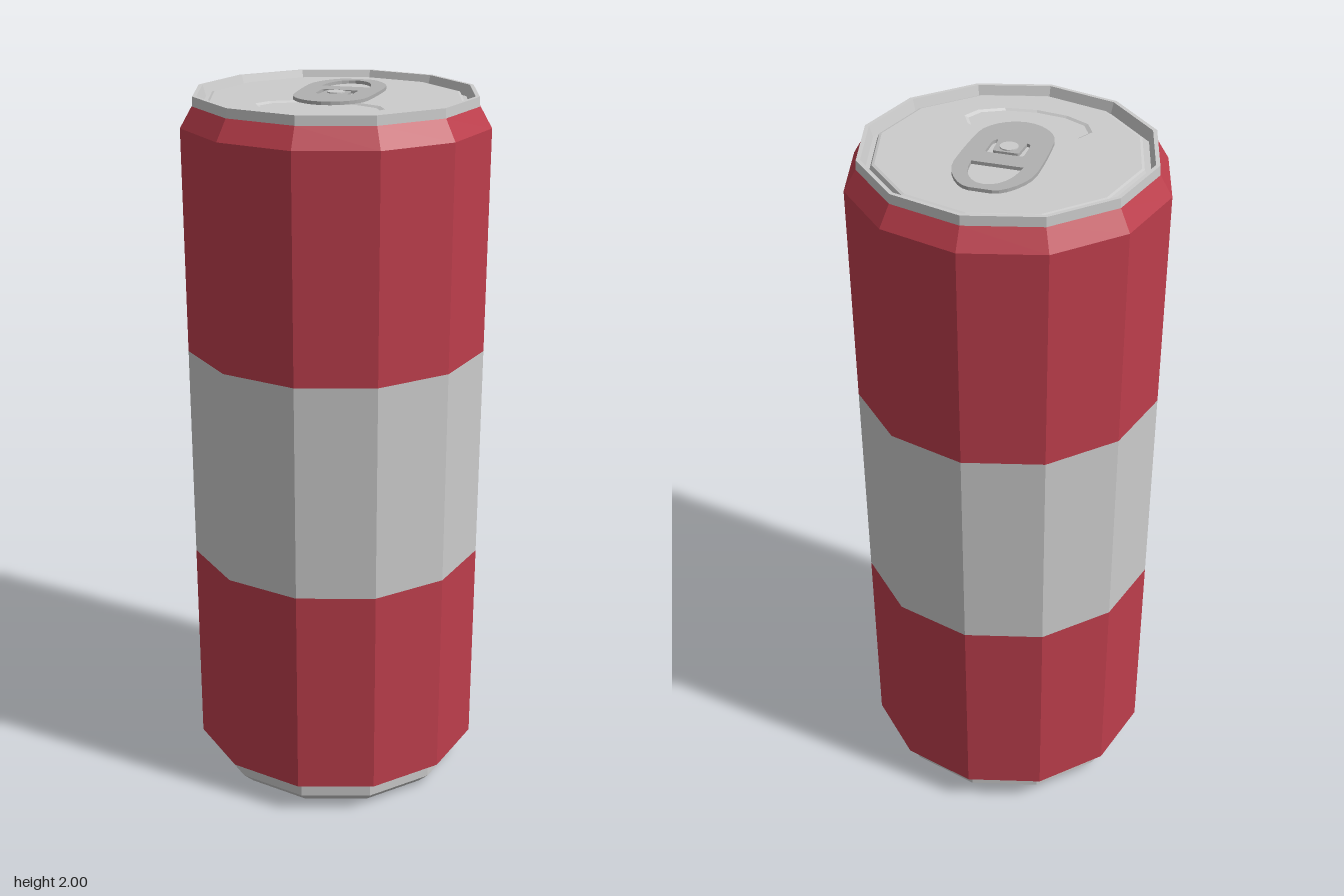
import * as THREE from 'three';

const SIDES = 12;
const LID_Y = 1.985;
const paint = (color) => new THREE.MeshStandardMaterial({ color, flatShading: true, side: THREE.DoubleSide });
const red = paint(0xbd3e4c);
const metal = paint(0xcccccc);
const tabMetal = paint(0xb1b1b1);

// Twelve-sided shell from [radius, height] pairs
function turned(name, profile, material) {
  const points = profile.map(([r, y]) => new THREE.Vector2(r, y));
  const mesh = new THREE.Mesh(new THREE.LatheGeometry(points, SIDES), material);
  mesh.name = name;
  return mesh;
}

// Corners of a polygon matching the turned shells; shape y is -z
function ring(rx, ry, cy = 0) {
  return Array.from({ length: SIDES }, (_, i) => {
    const a = (i / SIDES) * Math.PI * 2;
    return new THREE.Vector2(Math.sin(a) * rx, cy - Math.cos(a) * ry);
  });
}

export function createModel() {
  const can = new THREE.Group();
  can.name = 'drinkCan';

  // Body: open shell in three colour bands
  can.add(turned('lowerBody', [[0.385, 0.078], [0.42, 0.09], [0.42, 0.7]], red));
  can.add(turned('labelBand', [[0.42, 0.7], [0.42, 1.31]], metal));
  can.add(turned('upperBody', [[0.42, 1.31], [0.42, 1.92], [0.387, 1.975]], red));

  // Open foot ring
  can.add(turned('footRing', [[0.35, 0], [0.385, 0.035], [0.385, 0.078]], metal));

  // Top rim with the sunken groove around the lid
  can.add(turned('topRim', [
    [0.387, 1.97], [0.385, 2], [0.374, 2], [0.365, 1.97],
    [0.353, 1.97], [0.347, 1.983], [0.34, LID_Y],
  ], metal));

  // Lid panel, cut out for the mouth
  const mouthZ = 0.163, mouthX = 0.172, mouthDepth = 0.087;
  const lidShape = new THREE.Shape(ring(0.34, 0.34));
  lidShape.holes.push(new THREE.Path(ring(mouthX, mouthDepth, -mouthZ)));
  const lid = new THREE.Mesh(new THREE.ShapeGeometry(lidShape).rotateX(-Math.PI / 2), metal);
  lid.name = 'lid';
  lid.position.y = LID_Y;
  can.add(lid);

  // Shallow pressed mouth panel
  const mouth = turned('mouthPanel', [[0, -0.005], [0.94, -0.005], [1, 0]], metal);
  mouth.scale.set(mouthX, 1, mouthDepth);
  mouth.position.set(0, LID_Y, mouthZ);
  can.add(mouth);

  // Pull tab outline (shape y is -z)
  const tabShape = new THREE.Shape();
  tabShape.moveTo(0, -0.15);
  tabShape.bezierCurveTo(0.05, -0.15, 0.095, -0.105, 0.1, -0.06);
  tabShape.bezierCurveTo(0.106, 0, 0.108, 0.06, 0.107, 0.115);
  tabShape.bezierCurveTo(0.106, 0.17, 0.06, 0.235, 0.03, 0.235);
  tabShape.lineTo(-0.03, 0.235);
  tabShape.bezierCurveTo(-0.06, 0.235, -0.106, 0.17, -0.107, 0.115);
  tabShape.bezierCurveTo(-0.108, 0.06, -0.106, 0, -0.1, -0.06);
  tabShape.bezierCurveTo(-0.095, -0.105, -0.05, -0.15, 0, -0.15);

  // Finger hole
  const finger = new THREE.Path();
  finger.moveTo(-0.067, 0.1);
  finger.lineTo(0.067, 0.1);
  finger.bezierCurveTo(0.065, 0.16, 0.04, 0.21, 0, 0.21);
  finger.bezierCurveTo(-0.04, 0.21, -0.065, 0.16, -0.067, 0.1);

  // U-shaped slot around the rivet
  const slot = new THREE.Path();
  slot.moveTo(-0.05, -0.015);
  slot.lineTo(-0.05, 0.034);
  slot.quadraticCurveTo(-0.05, 0.043, -0.041, 0.043);
  slot.lineTo(0.041, 0.043);
  slot.quadraticCurveTo(0.05, 0.043, 0.05, 0.034);
  slot.lineTo(0.05, -0.015);
  slot.quadraticCurveTo(0.048, -0.03, 0.038, -0.03);
  slot.lineTo(0.034, 0.024);
  slot.quadraticCurveTo(0.034, 0.031, 0.026, 0.031);
  slot.lineTo(-0.026, 0.031);
  slot.quadraticCurveTo(-0.034, 0.031, -0.034, 0.024);
  slot.lineTo(-0.038, -0.03);
  slot.quadraticCurveTo(-0.048, -0.03, -0.05, -0.015);
  tabShape.holes.push(finger, slot);

  const tabGeometry = new THREE.ExtrudeGeometry(tabShape, { depth: 0.009, bevelEnabled: false, curveSegments: 6 });
  const tab = new THREE.Mesh(tabGeometry.rotateX(-Math.PI / 2), tabMetal);
  tab.name = 'pullTab';
  tab.position.y = LID_Y + 0.001;
  can.add(tab);

  // Rivet holding the tab
  const rivet = new THREE.Mesh(new THREE.CylinderGeometry(0.024, 0.025, 0.013, 16), metal);
  rivet.name = 'rivet';
  rivet.position.y = LID_Y + 0.0065;
  can.add(rivet);

  return can;
}
